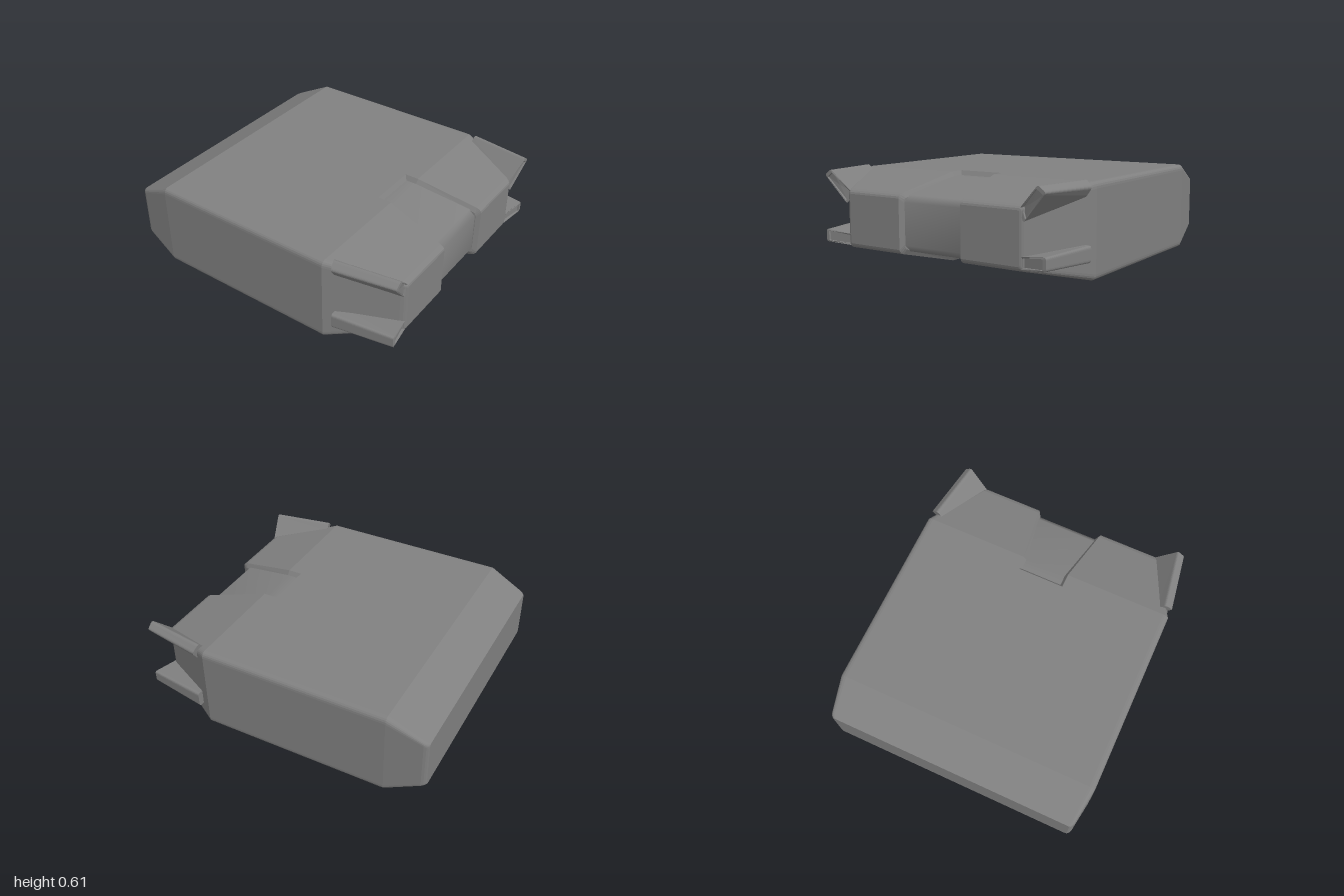
import * as THREE from 'three';

const material = new THREE.MeshStandardMaterial({ color: 0x808080, flatShading: true });
const smooth = new THREE.MeshStandardMaterial({ color: 0x808080, side: THREE.DoubleSide });

// Skin rings of [x, y, z] points (counter-clockwise seen from +z, ordered back to front) and cap the ends
function loft(name, rings, side = 1) {
  const pos = [];
  const r = rings.map(ring => {
    const pts = ring.map(([x, y, z]) => [x * side, y, z]);
    return side < 0 ? pts.reverse() : pts;
  });
  const n = r[0].length;
  for (let k = 0; k < r.length - 1; k++) {
    for (let i = 0; i < n; i++) {
      const j = (i + 1) % n;
      const a = r[k][i], b = r[k][j], c = r[k + 1][j], d = r[k + 1][i];
      pos.push(...a, ...b, ...c, ...a, ...c, ...d);
    }
  }
  const centre = ring => [0, 1, 2].map(a => ring.reduce((s, p) => s + p[a], 0) / n);
  const back = r[0], front = r[r.length - 1];
  const cb = centre(back), cf = centre(front);
  for (let i = 0; i < n; i++) {
    const j = (i + 1) % n;
    pos.push(...cb, ...back[j], ...back[i], ...cf, ...front[i], ...front[j]);
  }
  const g = new THREE.BufferGeometry();
  g.setAttribute('position', new THREE.Float32BufferAttribute(pos, 3));
  g.computeVertexNormals();
  const mesh = new THREE.Mesh(g, material);
  mesh.name = name;
  return mesh;
}

// Round every corner of a ring whose radius is above zero
function rounded(corners, radii) {
  const n = corners.length;
  const pts = corners.map(p => new THREE.Vector3(...p));
  return pts.flatMap((p, i) => {
    if (!radii[i]) return [p.toArray()];
    const towards = q => p.clone().lerp(q, Math.min(0.4, radii[i] / p.distanceTo(q)));
    const arc = new THREE.QuadraticBezierCurve3(towards(pts[(i + n - 1) % n]), p, towards(pts[(i + 1) % n]));
    return arc.getPoints(5).map(v => v.toArray());
  });
}

// Rounded rectangle across the whole hull
const hullRing = (z, w, y, c) => rounded(
  [[-w, y, z], [w, y, z], [w, 0.59 - y, z], [-w, 0.59 - y, z]], [c, c, c, c]);

// One half of the nose: inner edge xi, outer edge xo, with a sloping lip (depth d, set back dz) to the recess
const cheekRing = (z, xi, xo, y, c, dz = 0, d = 1) => rounded([
  [xi, y, z], [xo, y, z], [xo, 0.59 - y, z], [xi, 0.59 - y, z],
  [xi - 0.02 * d, 0.59 - y - 0.03 * d, z - dz], [xi - 0.02 * d, y + 0.03 * d, z - dz],
], [0, c, c, 0, 0, 0]);

// Tapering fin with a shallow recessed panel in its front end
function fin(name, back, front, side) {
  const cx = front.reduce((s, p) => s + p[0], 0) / 4;
  const cy = front.reduce((s, p) => s + p[1], 0) / 4;
  const inset = (d, dz) => front.map(([x, y, z]) => {
    const f = 1 - d / Math.hypot(x - cx, y - cy);
    return [cx + (x - cx) * f, cy + (y - cy) * f, z - dz];
  });
  const round = (quad, c) => rounded(quad, [c, c, c, c]);
  return loft(name, [
    round(back, 0.02), round(front, 0.018),
    round(inset(0.024, 0), 0.006), round(inset(0.026, 0.012), 0.006),
  ], side);
}

// Curved floor of the recess, wrapping over the top, front and underside
function recessFloor() {
  const profile = [[0.45, 0.56], [0.53, 0.56], [0.9, 0.472], [0.94, 0.43],
    [0.94, 0.16], [0.9, 0.118], [0.53, 0.03], [0.45, 0.03]];
  const pos = [], index = [];
  profile.forEach(([z, y], i) => {
    const w = 0.155 + 0.07 * Math.max(0, (z - 0.55) / 0.39);
    pos.push(-w, y, z, w, y, z);
    if (i < profile.length - 1) {
      const a = 2 * i;
      index.push(a, a + 2, a + 1, a + 1, a + 2, a + 3);
    }
  });
  const g = new THREE.BufferGeometry();
  g.setAttribute('position', new THREE.Float32BufferAttribute(pos, 3));
  g.setIndex(index);
  g.computeVertexNormals();
  const mesh = new THREE.Mesh(g, smooth);
  mesh.name = 'recessFloor';
  return mesh;
}

export function createModel() {
  const model = new THREE.Group();
  model.name = 'wedgeHull';

  // Main hull with tapered tail; its front edge slopes down into the recess
  const tail = [[-1, 0.844], [-0.995, 0.853], [-0.985, 0.861], [-0.97, 0.867]];
  model.add(loft('hull', [
    ...tail.map(([z, w]) => hullRing(z, w, (-0.74 - z) * 0.49, 0.025)),
    hullRing(-0.74, 0.9, 0, 0.04),
    hullRing(0.435, 0.9, 0, 0.04),
    hullRing(0.455, 0.87, 0.03, 0.03),
  ]));
  model.add(recessFloor());

  for (const [side, label] of [[1, 'left'], [-1, 'right']]) {
    // Nose halves on either side of the recess, with a rounded front edge
    model.add(loft(label + 'Nose', [
      cheekRing(0.435, 0.165, 0.9, 0, 0.04),
      cheekRing(0.53, 0.165, 0.9, 0, 0.04),
      cheekRing(0.94, 0.234, 0.685, 0.103, 0.025, 0.01),
      cheekRing(0.958, 0.237, 0.673, 0.112, 0.022, 0.018),
      cheekRing(0.968, 0.238, 0.662, 0.122, 0.018, 0.025),
      cheekRing(0.972, 0.238, 0.65, 0.134, 0.012, 0.027),
      cheekRing(0.972, 0.238, 0.65, 0.134, 0.012, 0, 0),
    ], side));

    // Diagonal fin at the upper corner
    model.add(fin(label + 'UpperFin',
      [[0.86, 0.497, 0.6], [0.908, 0.565, 0.6], [0.855, 0.612, 0.585], [0.795, 0.55, 0.575]],
      [[0.677, 0.388, 0.97], [0.842, 0.57, 1], [0.79, 0.61, 1], [0.64, 0.46, 0.96]], side));

    // Flat fin at the lower corner
    model.add(fin(label + 'LowerFin',
      [[0.79, 0.12, 0.59], [0.905, 0.12, 0.6], [0.905, 0.224, 0.6], [0.79, 0.224, 0.59]],
      [[0.645, 0.12, 0.965], [0.844, 0.133, 1], [0.844, 0.216, 1], [0.645, 0.192, 0.965]], side));
  }
  return model;
}
